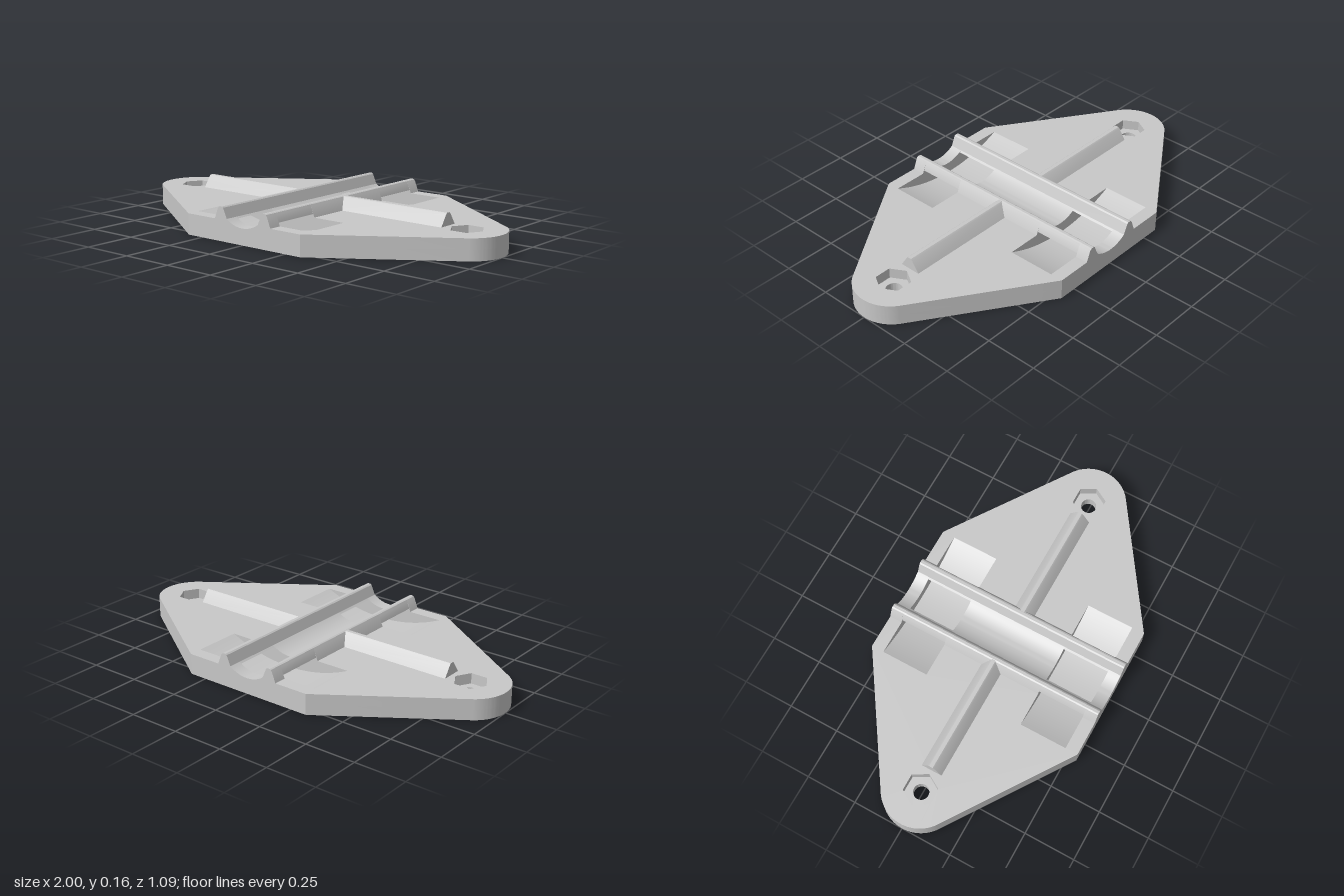
import * as THREE from 'three';
import { toCreasedNormals } from 'three/addons/utils/BufferGeometryUtils.js';

const TOP = 0.1;          // plate thickness
const HALF_W = 0.335;     // half width of the straight middle block
const HALF_D = 0.545;     // half depth of the plate
const SLOT_IN = 0.25, SLOT_OUT = 0.483; // strap slot range along z
const BOLT_X = 0.82, END_R = 0.18;

export function createModel() {
  const model = new THREE.Group();
  const grey = new THREE.MeshStandardMaterial({ color: 0xc8c8c8 });
  grey.name = 'lightGrey';

  const add = (name, geometry, parent = model) => {
    const mesh = new THREE.Mesh(geometry, grey);
    mesh.name = name;
    parent.add(mesh);
    return mesh;
  };
  const extrude = (shape, depth) => toCreasedNormals(
    new THREE.ExtrudeGeometry(shape, { depth, bevelEnabled: false, curveSegments: 24 }), 0.4);
  const polygon = (pts) => new THREE.Shape(pts.map(([x, y]) => new THREE.Vector2(x, y)));
  // circular dip of half width w, from height y at its ends down to the floor
  const dip = (w, y, floor, n = 20) => {
    const h = y - floor, r = (w * w + h * h) / (2 * h);
    return Array.from({ length: n + 1 }, (_, i) => {
      const x = w - (2 * w * i) / n;
      return [x, floor + r - Math.sqrt(r * r - x * x)];
    });
  };
  const mirror = (pts) => pts.map(([x, y]) => [-x, y]).reverse();

  // Middle block: solid stretches carrying the ridges and the cradle between them
  const crest = [[0.147, 0.15], [0.142, 0.157], [0.135, 0.16], [0.122, 0.16], [0.115, 0.155]];
  const ridge = [[HALF_W, TOP], [0.167, TOP], ...crest];
  const solid = polygon([[-HALF_W, 0], [HALF_W, 0], ...ridge,
    ...dip(0.094, 0.107, 0.077), ...mirror(ridge)]);
  const stretches = [
    ['cradleFront', SLOT_OUT, HALF_D],
    ['cradleCentre', -SLOT_IN, SLOT_IN],
    ['cradleBack', -HALF_D, -SLOT_OUT],
  ];
  for (const [name, z0, z1] of stretches) {
    add(name, extrude(solid, z1 - z0)).position.z = z0;
  }

  // Strap slots: curved floor with the ridges bridging over it, undersides sloping inward
  const slotFloor = polygon([[-HALF_W, 0], [HALF_W, 0], ...dip(HALF_W, TOP, 0.025, 32)]);
  const bridge = [[0.159, 0.115], ...crest, [0.094, 0.107], [0.085, 0.1]];
  const slotLength = SLOT_OUT - SLOT_IN;
  for (const [side, z0] of [['Front', SLOT_IN], ['Back', -SLOT_OUT]]) {
    add('strapSlot' + side, extrude(slotFloor, slotLength)).position.z = z0;
    add('leftBridge' + side, extrude(polygon(bridge), slotLength)).position.z = z0;
    add('rightBridge' + side, extrude(polygon(mirror(bridge)), slotLength)).position.z = z0;
  }

  // Tapered wing outline with a rounded end tangent to its sloping edges
  const wingShape = (hole) => {
    const dx = HALF_W - BOLT_X;
    const a = Math.atan2(HALF_D, dx) - Math.acos(END_R / Math.hypot(dx, HALF_D));
    const s = new THREE.Shape();
    s.moveTo(HALF_W, HALF_D);
    s.lineTo(HALF_W, -HALF_D);
    s.absarc(BOLT_X, 0, END_R, -a, a, false);
    s.closePath();
    s.holes.push(hole);
    return s;
  };
  const bolt = new THREE.Path().absarc(BOLT_X, 0, 0.037, 0, Math.PI * 2, true);
  const hexagon = new THREE.Path(Array.from({ length: 6 }, (_, i) => new THREE.Vector2(
    BOLT_X + 0.08 * Math.cos(i * Math.PI / 3), -0.08 * Math.sin(i * Math.PI / 3))));
  hexagon.closePath();
  const POCKET = 0.05; // height of the nut pocket floor
  const lower = extrude(wingShape(bolt), POCKET).rotateX(-Math.PI / 2);
  const upper = extrude(wingShape(hexagon), TOP - POCKET).rotateX(-Math.PI / 2).translate(0, POCKET, 0);

  // Stiffening rib running outward from each ridge
  const rib = extrude(polygon([[-0.052, 0.099], [0.052, 0.099], [0.016, 0.153],
    [0.009, 0.159], [-0.009, 0.159], [-0.016, 0.153]]), 0.59).rotateY(Math.PI / 2).translate(0.13, 0, 0);

  for (const [side, turn] of [['left', 0], ['right', Math.PI]]) {
    const wing = new THREE.Group();
    wing.name = side + 'Wing';
    wing.rotation.y = turn;
    add(side + 'BoltPlate', lower, wing);
    add(side + 'NutPocketPlate', upper, wing);
    add(side + 'Rib', rib, wing);
    model.add(wing);
  }
  return model;
}
